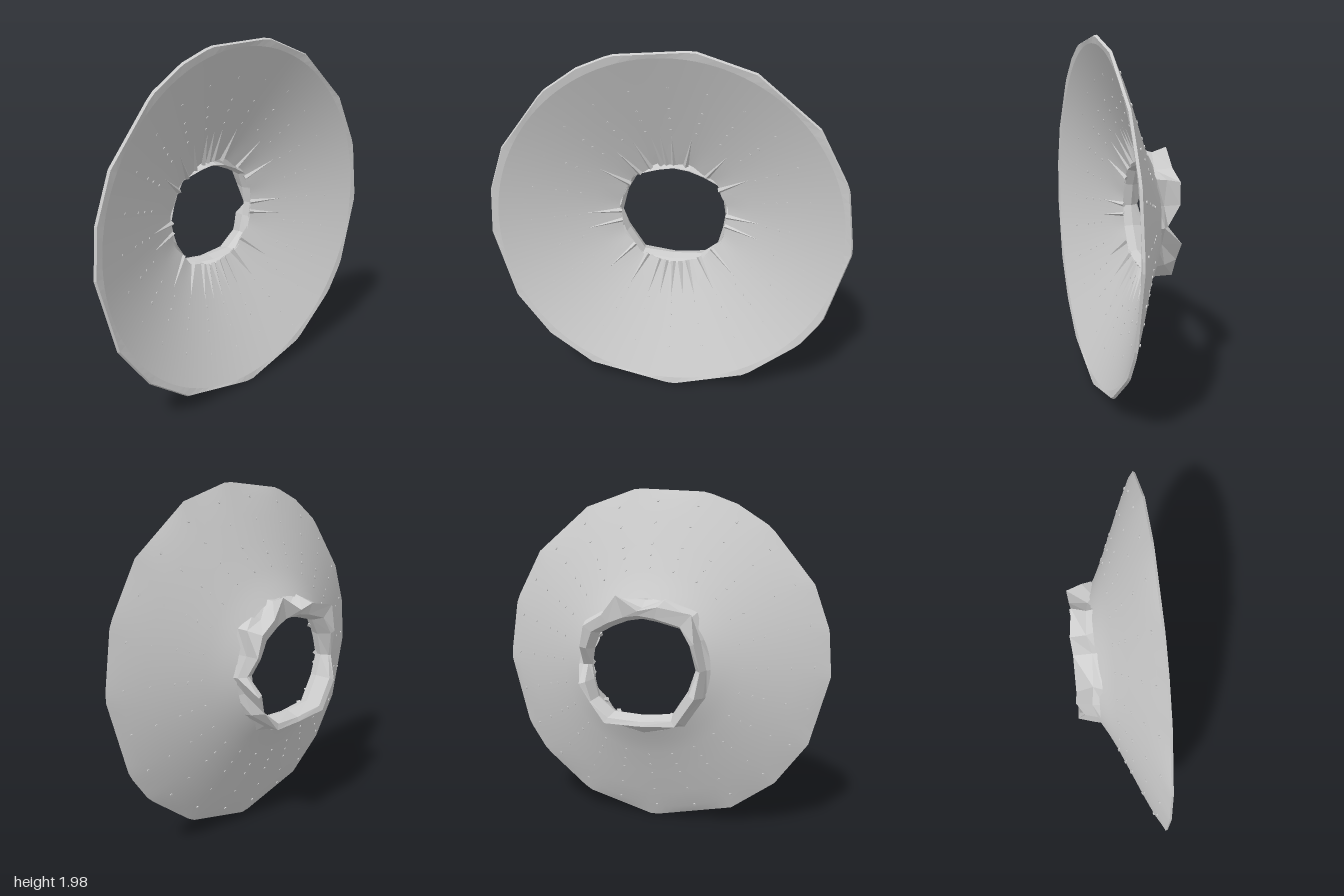
import * as THREE from 'three';

const D = Math.PI / 180;
const SLOPE = Math.atan2(0.28, 0.65);
const wallZ = (r) => 0.2 - (0.95 - r) * Math.tan(SLOPE);

// Skin a surface over rings; each ring maps an angle and index to [radius, z]
function loft(angles, rings) {
  const pos = [], index = [], n = angles.length;
  for (const ring of rings) {
    angles.forEach((a, i) => {
      const [r, z] = ring(a, i);
      pos.push(r * Math.cos(a * D), r * Math.sin(a * D), z);
    });
  }
  for (let j = 0; j < rings.length - 1; j++) {
    for (let i = 0; i < n; i++) {
      const k = (i + 1) % n, a = j * n + i, b = j * n + k;
      index.push(a, b, a + n, b, b + n, a + n);
    }
  }
  const g = new THREE.BufferGeometry();
  g.setAttribute('position', new THREE.Float32BufferAttribute(pos, 3));
  g.setIndex(index);
  g.computeVertexNormals();
  return g;
}

// Uneven corners of the rim polygon, in degrees
const CORNERS = [-2, 19, 39, 63, 82, 106, 117, 130, 153, 168, 183, 207, 225, 243, 272, 298, 320, 332, 358];
function rimRadius(a) {
  const i = CORNERS.findIndex((c, k) => a >= c && a < CORNERS[k + 1]);
  if (i < 0) return 1;
  const mid = (CORNERS[i] + CORNERS[i + 1]) / 2;
  const half = (CORNERS[i + 1] - CORNERS[i]) / 2;
  return Math.cos(half * D) / Math.cos((a - mid) * D);
}

// Ragged collar: angle, base radius, outer radius, back z, inner radius
const COLLAR = [
  [0, 0.39, 0.35, -0.13, 0.30],
  [18, 0.38, 0.36, -0.2, 0.30],
  [36, 0.42, 0.39, -0.21, 0.31],
  [54, 0.38, 0.36, -0.2, 0.28],
  [72, 0.39, 0.42, -0.19, 0.27],
  [90, 0.36, 0.32, -0.21, 0.27],
  [108, 0.39, 0.36, -0.2, 0.27],
  [134, 0.42, 0.43, -0.2, 0.31],
  [154, 0.37, 0.35, -0.21, 0.30],
  [180, 0.39, 0.34, -0.17, 0.305],
  [204, 0.38, 0.35, -0.21, 0.29],
  [235, 0.40, 0.37, -0.21, 0.31],
  [270, 0.38, 0.32, -0.2, 0.27],
  [302, 0.40, 0.37, -0.21, 0.31],
  [325, 0.38, 0.35, -0.2, 0.32],
  [344, 0.38, 0.36, -0.21, 0.30],
];

export function createModel() {
  const model = new THREE.Group();
  const dish = new THREE.Group();
  dish.name = 'dish';
  dish.position.y = 1;
  model.add(dish);

  const smooth = new THREE.MeshStandardMaterial({ color: 0xcccccc, side: THREE.DoubleSide });
  const flat = new THREE.MeshStandardMaterial({ color: 0xcccccc, side: THREE.DoubleSide, flatShading: true });
  const add = (name, geometry, material, parent = dish) => {
    const mesh = new THREE.Mesh(geometry, material);
    mesh.name = name;
    parent.add(mesh);
    return mesh;
  };

  const round = Array.from({ length: 120 }, (_, i) => i * 3);
  const circle = (r, z) => () => [r, z];
  const rim = (a) => [rimRadius(a), 0.2];
  // Slightly uneven edge around the central opening
  const throat = (a) => [0.312 + 0.008 * Math.sin(a * D * 11), -0.075];

  // Conical walls and the faceted lip joining them
  add('innerCone', loft(round, [throat, circle(0.45, wallZ(0.45)), circle(0.7, wallZ(0.7)), circle(0.95, 0.205)]), smooth);
  add('rimLip', loft(round, [circle(0.95, 0.205), (a) => [rimRadius(a) - 0.008, 0.212], rim]), flat);
  add('outerCone', loft(round, [rim, circle(0.92, 0.165), circle(0.81, 0.115),
    circle(0.67, 0.055), circle(0.53, -0.005), circle(0.45, -0.045), circle(0.38, -0.085)]), smooth);

  // Jagged collar behind the opening
  add('collar', loft(COLLAR.map((c) => c[0]), [
    (a, i) => [COLLAR[i][1] + 0.01, -0.065],
    (a, i) => [COLLAR[i][1] - (i % 2) * 0.03, -0.1 - (i % 3) * 0.012],
    (a, i) => [COLLAR[i][2], COLLAR[i][3]],
    (a, i) => [COLLAR[i][4] + 0.025, COLLAR[i][3] + 0.01],
    (a, i) => [COLLAR[i][4], -0.12],
    (a, i) => [COLLAR[i][4] + 0.015, -0.07],
  ]), flat);

  // Rivets through the wall in radial rows
  const rivet = new THREE.CylinderGeometry(0.008, 0.008, 0.03, 8).rotateX(Math.PI / 2).rotateY(-SLOPE);
  for (let i = 0; i < 24; i++) {
    const row = new THREE.Group();
    row.name = 'rivetRow';
    row.rotation.z = i * 15 * D;
    dish.add(row);
    for (const r of [0.9, 0.78, 0.66, 0.6, 0.53]) {
      add('rivet', rivet, smooth, row).position.set(r + 0.01, 0, wallZ(r) - 0.008);
    }
  }

  // Narrow tapering folds running out from the opening
  const fold = new THREE.ConeGeometry(0.016, 0.21, 4).rotateZ(-Math.PI / 2).rotateY(-SLOPE);
  for (const a of [1, 32, 52, 77, 90, 97, 103, 115, 128, 145, 179, 190, 222, 240, 254, 262, 270, 278, 286, 300, 318, 350]) {
    const spoke = new THREE.Group();
    spoke.name = 'foldSpoke';
    spoke.rotation.z = a * D;
    dish.add(spoke);
    add('fold', fold, flat, spoke).position.set(0.405, 0, wallZ(0.405));
  }

  return model;
}
